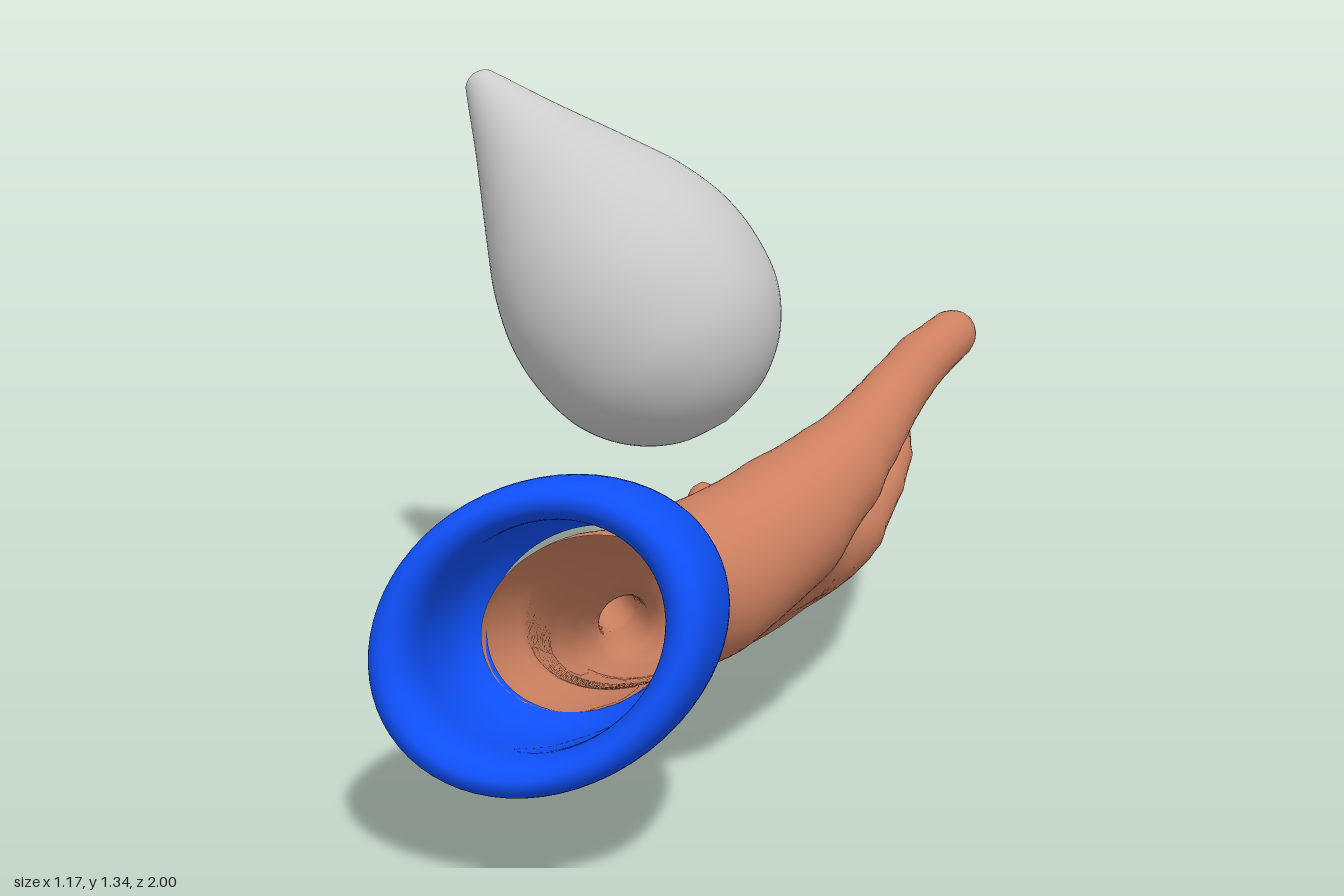
import * as THREE from 'three';

const SKIN = 0xcc8060, BLUE = 0x0f50fa, GREY = 0xcccccc;
const TILT = 0.52; // roll of the palm about z, thumb side up

// Palm and wrist cross-sections: z, centre x, centre y, half width, half thickness
const SECTIONS = [
  [-0.36, 0.055, 0.195, 0.32, 0.08],
  [-0.28, 0.05, 0.197, 0.338, 0.112],
  [-0.10, 0.045, 0.235, 0.342, 0.14],
  [0.10, 0.035, 0.288, 0.315, 0.147],
  [0.30, 0.025, 0.34, 0.258, 0.152],
  [0.47, 0.02, 0.385, 0.212, 0.15],
  [0.62, 0.003, 0.41, 0.214, 0.162],
  [0.75, -0.005, 0.425, 0.206, 0.155],
];

// Digits: blend into the palm, then a chain of tapered capsules as x, y, z, radius
const DIGITS = [
  { blend: 0.13, chain: [[0.165, 0.425, 0.36, 0.13], [0.275, 0.505, 0.16, 0.13],
    [0.345, 0.57, 0.06, 0.106], [0.388, 0.625, -0.01, 0.084], [0.437, 0.70, -0.13, 0.066],
    [0.48, 0.757, -0.20, 0.06], [0.535, 0.803, -0.272, 0.053]] }, // thumb
  { blend: 0.08, chain: [[0.27, 0.37, 0.02, 0.07], [0.292, 0.343, -0.2, 0.074],
    [0.312, 0.34, -0.35, 0.075], [0.335, 0.375, -0.6, 0.056], [0.33, 0.40, -0.78, 0.05],
    [0.314, 0.42, -0.91, 0.042]] }, // index
  { blend: 0.06, chain: [[0.14, 0.245, -0.2, 0.06], [0.16, 0.215, -0.36, 0.07],
    [0.12, 0.24, -0.66, 0.053], [0.085, 0.27, -0.84, 0.046], [0.057, 0.297, -0.96, 0.041]] }, // middle
  { blend: 0.06, chain: [[0.01, 0.17, -0.2, 0.055], [-0.01, 0.13, -0.36, 0.067],
    [-0.08, 0.155, -0.64, 0.052], [-0.13, 0.20, -0.79, 0.045], [-0.158, 0.23, -0.862, 0.041]] }, // ring
  { blend: 0.06, chain: [[-0.15, 0.115, -0.12, 0.06], [-0.20, 0.07, -0.32, 0.064],
    [-0.28, 0.055, -0.47, 0.052], [-0.35, 0.072, -0.58, 0.046], [-0.386, 0.092, -0.65, 0.041]] }, // little
];

function smoothMin(a, b, k) {
  const h = Math.max(k - Math.abs(a - b), 0) / k;
  return Math.min(a, b) - h * h * k / 4;
}

// Distance to the palm and wrist: a tilted ellipse that changes along z
function palmDistance(x, y, z) {
  let i = 0;
  while (i < SECTIONS.length - 2 && z > SECTIONS[i + 1][0]) i++;
  const s = SECTIONS[i], e = SECTIONS[i + 1];
  const t = THREE.MathUtils.clamp((z - s[0]) / (e[0] - s[0]), 0, 1);
  const mix = (n) => s[n] + (e[n] - s[n]) * t;
  const dx = x - mix(1), dy = y - mix(2), a = mix(3), b = mix(4);
  const u = dx * Math.cos(TILT) + dy * Math.sin(TILT);
  const v = dy * Math.cos(TILT) - dx * Math.sin(TILT);
  const k0 = Math.hypot(u / a, v / b), k1 = Math.hypot(u / (a * a), v / (b * b));
  const d = k1 < 1e-6 ? -b : k0 * (k0 - 1) / k1;
  return -smoothMin(-d, z + 0.33, 0.1); // rounded end between the fingers
}

function digitDistance(chain, x, y, z) {
  let best = Infinity;
  for (let i = 0; i < chain.length - 1; i++) {
    const [ax, ay, az, ar] = chain[i], [bx, by, bz, br] = chain[i + 1];
    const ux = bx - ax, uy = by - ay, uz = bz - az;
    const t = THREE.MathUtils.clamp(
      ((x - ax) * ux + (y - ay) * uy + (z - az) * uz) / (ux * ux + uy * uy + uz * uz), 0, 1);
    const dx = x - ax - ux * t, dy = y - ay - uy * t, dz = z - az - uz * t;
    best = smoothMin(best, Math.sqrt(dx * dx + dy * dy + dz * dz) - ar - (br - ar) * t, 0.006);
  }
  return best;
}

function handDistance(x, y, z) {
  let d = palmDistance(x, y, z);
  for (const { blend, chain } of DIGITS) d = smoothMin(d, digitDistance(chain, x, y, z), blend);
  return d;
}

// Skin a distance field with quads; it stays open where it leaves the box
function skinField(field, min, max, h) {
  const n = [0, 1, 2].map((a) => Math.round((max[a] - min[a]) / h) + 1);
  const step = [1, n[0], n[0] * n[1]];
  const total = n[0] * n[1] * n[2];
  const values = new Float32Array(total), vertexOf = new Int32Array(total).fill(-1);
  const at = (g) => [g % n[0], Math.floor(g / n[0]) % n[1], Math.floor(g / step[2])];
  for (let g = 0; g < total; g++) {
    const c = at(g);
    values[g] = field(min[0] + c[0] * h, min[1] + c[1] * h, min[2] + c[2] * h);
  }

  // One vertex per crossed cell, at the mean of its edge crossings
  const positions = [], normals = [], index = [];
  for (let g = 0; g < total; g++) {
    const c = at(g);
    if (c.some((v, a) => v >= n[a] - 1)) continue;
    const sum = [0, 0, 0];
    let count = 0;
    for (let corner = 0; corner < 8; corner++) {
      const bits = [corner & 1, (corner >> 1) & 1, corner >> 2];
      const p = g + bits[0] * step[0] + bits[1] * step[1] + bits[2] * step[2];
      for (let a = 0; a < 3; a++) {
        if (bits[a]) continue;
        const v0 = values[p], v1 = values[p + step[a]];
        if ((v0 < 0) === (v1 < 0)) continue;
        for (let k = 0; k < 3; k++) sum[k] += bits[k] + (k === a ? v0 / (v0 - v1) : 0);
        count++;
      }
    }
    if (!count) continue;
    vertexOf[g] = positions.length / 3;
    const [x, y, z] = sum.map((v, a) => min[a] + (c[a] + v / count) * h);
    const e = 0.02;
    const normal = new THREE.Vector3(
      field(x + e, y, z) - field(x - e, y, z),
      field(x, y + e, z) - field(x, y - e, z),
      field(x, y, z + e) - field(x, y, z - e)).normalize();
    positions.push(x, y, z);
    normals.push(normal.x, normal.y, normal.z);
  }

  // One quad around every crossed grid edge
  for (let g = 0; g < total; g++) {
    const c = at(g);
    for (let a = 0; a < 3; a++) {
      if (c[a] >= n[a] - 1) continue;
      const inside = values[g] < 0;
      if (inside === (values[g + step[a]] < 0)) continue;
      const b = step[(a + 1) % 3], d = step[(a + 2) % 3];
      const q = [g, g - b, g - b - d, g - d].map((i) => vertexOf[i] ?? -1);
      if (q.includes(-1)) continue;
      if (!inside) q.reverse();
      index.push(q[0], q[1], q[2], q[0], q[2], q[3]);
    }
  }
  const geometry = new THREE.BufferGeometry();
  geometry.setAttribute('position', new THREE.Float32BufferAttribute(positions, 3));
  geometry.setAttribute('normal', new THREE.Float32BufferAttribute(normals, 3));
  geometry.setIndex(index);
  return geometry;
}

// Smooth lathe through a few (radius, height) points
function smoothLathe(points, samples, sides) {
  const curve = new THREE.SplineCurve(points.map(([r, y]) => new THREE.Vector2(r, y)));
  const profile = curve.getPoints(samples);
  profile.forEach((p) => { p.x = Math.max(p.x, 0); });
  return new THREE.LatheGeometry(profile, sides);
}

function addMesh(group, name, geometry, color, side = THREE.FrontSide) {
  const mesh = new THREE.Mesh(geometry, new THREE.MeshStandardMaterial({ color, side }));
  mesh.name = name;
  group.add(mesh);
  return mesh;
}

export function createModel() {
  const group = new THREE.Group();
  group.name = 'handWithDrop';

  // Open palm with five digits, hollow at the wrist
  addMesh(group, 'hand',
    skinField(handDistance, [-0.5, -0.05, -1.06], [0.66, 0.93, 0.67], 0.016),
    SKIN, THREE.DoubleSide);

  // Oval sleeve cuff with a rolled rim, closing in on the wrist
  const cuffProfile = [
    [0.62, -0.155], [0.67, -0.183], [0.75, -0.18], [0.85, -0.145], [0.94, -0.07], [0.99, 0.02], [1.0, 0.1],
    [0.97, 0.155], [0.88, 0.178], [0.78, 0.165], [0.73, 0.12], [0.74, 0.02], [0.72, -0.08], [0.62, -0.155],
  ];
  const cuff = smoothLathe(cuffProfile, 78, 64);
  cuff.scale(0.325, 1, 0.266).rotateX(Math.PI / 2).rotateZ(0.56).rotateX(-0.2);
  addMesh(group, 'cuff', cuff, BLUE, THREE.DoubleSide).position.set(-0.007, 0.443, 0.773);

  // Drop floating above the palm, its tip leaning to the side
  const dropProfile = [
    [0, -0.3], [0.115, -0.277], [0.212, -0.212], [0.277, -0.115], [0.3, 0], [0.294, 0.115],
    [0.258, 0.23], [0.207, 0.33], [0.107, 0.51], [0.045, 0.63], [0.027, 0.657], [0, 0.667],
  ];
  const drop = addMesh(group, 'drop', smoothLathe(dropProfile, 66, 64), GREY);
  drop.position.set(-0.163, 0.795, -0.368);
  drop.rotation.z = 0.655;

  return group;
}
